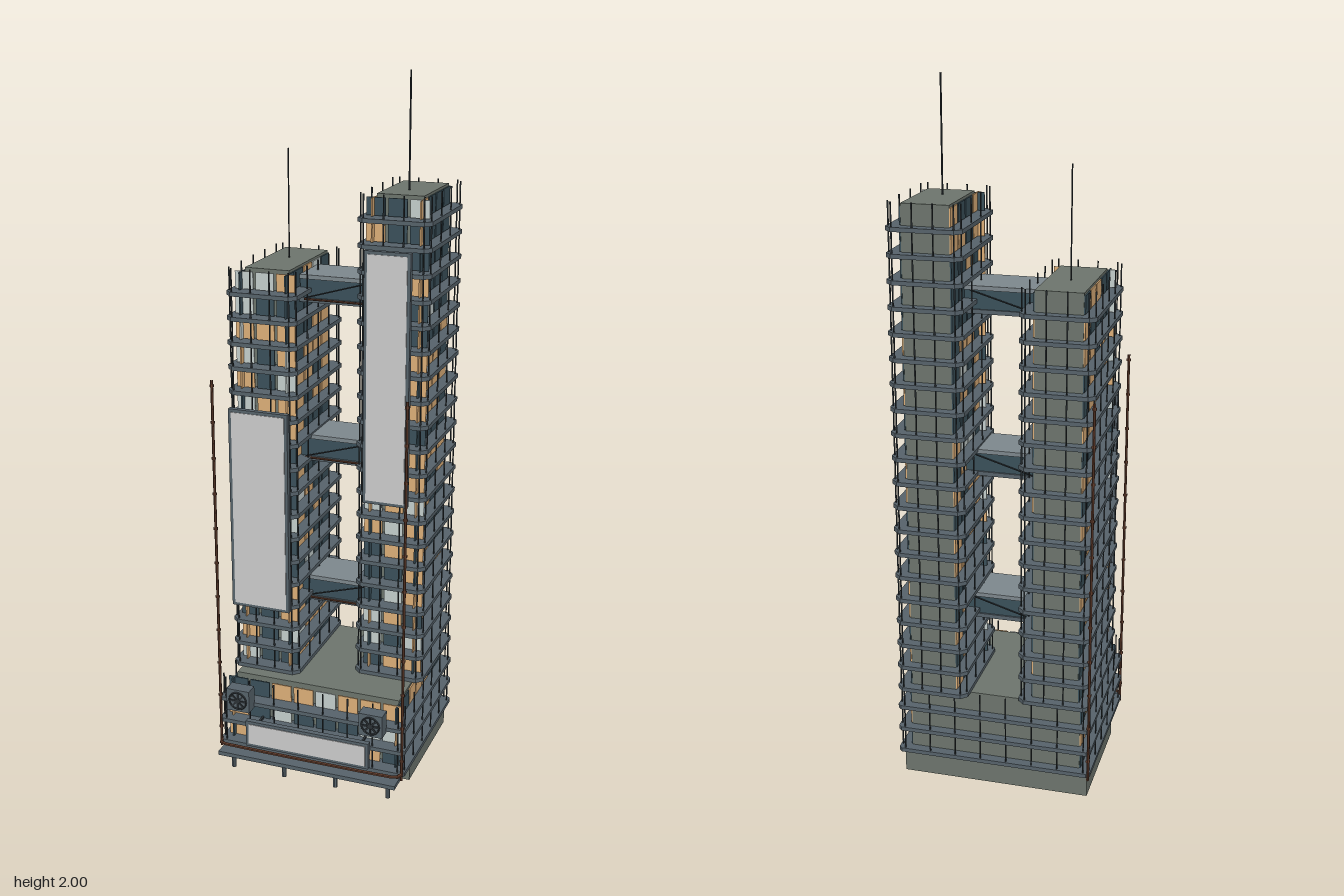
import * as THREE from 'three';
import { mergeGeometries } from 'three/addons/utils/BufferGeometryUtils.js';

const FLOOR = 0.0702;
const material = (color) => new THREE.MeshStandardMaterial({ color, flatShading: true });
const mats = {
  wall: material(0x6c746c), slab: material(0x56626a), dark: material(0x2c3236),
  lit: material(0xdcae78), glass: material(0x3a505a), pale: material(0xc4cecc),
  bridge: material(0x7d878c), rust: material(0x5e3a2a), sign: material(0xcccccc),
};

// Box given by its minimum and maximum corners
function box(x0, x1, y0, y1, z0, z1) {
  return new THREE.BoxGeometry(x1 - x0, y1 - y0, z1 - z0)
    .translate((x0 + x1) / 2, (y0 + y1) / 2, (z0 + z1) / 2);
}

function add(parent, name, geometry, mat) {
  const mesh = new THREE.Mesh(Array.isArray(geometry) ? mergeGeometries(geometry) : geometry, mat);
  mesh.name = name;
  parent.add(mesh);
  return mesh;
}

// Round rod between two points
function rod(a, b, r, sides = 6) {
  const path = new THREE.LineCurve3(new THREE.Vector3(...a), new THREE.Vector3(...b));
  return new THREE.TubeGeometry(path, 1, r, sides);
}

let seed = 7;
function random() {
  seed = (seed * 16807) % 2147483647;
  return seed / 2147483647;
}

// Floor slab with cut corners
function slabGeometry([x0, x1, z0, z1], y, cut) {
  const s = new THREE.Shape([
    [x0 + cut, -z0], [x0, -z0 - cut], [x0, -z1 + cut], [x0 + cut, -z1],
    [x1 - cut, -z1], [x1, -z1 + cut], [x1, -z0 - cut], [x1 - cut, -z0],
  ].map(([x, v]) => new THREE.Vector2(x, v)));
  return new THREE.ExtrudeGeometry(s, { depth: 0.012, bevelEnabled: false })
    .rotateX(-Math.PI / 2).translate(0, y, 0);
}

// Stacked storeys: core, slabs, balcony posts and window panels
function block(name, { core, slab, y, floors, cut }) {
  const g = new THREE.Group();
  g.name = name;
  const [x0, x1, z0, z1] = core, [sx0, sx1, sz0, sz1] = slab;
  add(g, 'core', box(x0, x1, y, y + floors * FLOOR, z0, z1), mats.wall);

  const slabs = [], posts = [], panes = { lit: [], glass: [], pale: [] };
  const count = (len) => Math.round(len / 0.068);
  const nx = count(sx1 - sx0), nz = count(sz1 - sz0 - 0.03);
  const wx0 = sx0 + 0.012, wx1 = sx1 - 0.012;
  const wz0 = sz0 + 0.025, wz1 = sz1 - 0.02;
  const pick = (pale) => {
    const r = random();
    return r < 0.45 ? 'lit' : r < 1 - pale ? 'glass' : 'pale';
  };

  for (let f = 0; f < floors; f++) {
    const b = y + f * FLOOR;
    slabs.push(slabGeometry(slab, b, cut));
    const post = (x, z) => posts.push(box(x - 0.0017, x + 0.0017, b, b + 0.077, z - 0.0017, z + 0.0017));
    const px = Math.round((sx1 - sx0) / 0.08), pz = Math.round((sz1 - sz0) / 0.1);
    for (let i = 0; i <= px; i++) {
      const x = THREE.MathUtils.lerp(sx0 + 0.02, sx1 - 0.02, i / px);
      post(x, sz0 + 0.006);
      post(x, sz1 - 0.006);
    }
    for (let i = 0; i <= pz; i++) {
      const z = THREE.MathUtils.lerp(sz0 + 0.025, sz1 - 0.025, i / pz);
      post(sx0 + 0.006, z);
      post(sx1 - 0.006, z);
    }
    // Front windows
    const dx = (wx1 - wx0) / nx, w0 = b + 0.014, w1 = b + 0.063;
    for (let i = 0; i < nx; i++) {
      const a = wx0 + i * dx;
      panes[pick(0.2)].push(box(a + 0.004, a + dx - 0.004, w0, w1, z1 + 0.015, z1 + 0.019));
    }
    // Side windows
    const dz = (wz1 - wz0) / nz;
    for (let i = 0; i < nz; i++) {
      const a = wz0 + i * dz;
      panes[pick(0.04)].push(box(x1, x1 + 0.004, w0, w1, a + 0.004, a + dz - 0.004));
      panes[pick(0.04)].push(box(x0 - 0.004, x0, w0, w1, a + 0.004, a + dz - 0.004));
    }
  }
  add(g, 'floorSlabs', slabs, mats.slab);
  add(g, 'balconyPosts', posts, mats.dark);
  for (const key in panes) if (panes[key].length) add(g, key + 'Windows', panes[key], mats[key]);
  return g;
}

// Blank panel in a dark frame with brackets behind it
function billboard(name, x0, x1, y0, y1, z0, z1, back) {
  const g = new THREE.Group();
  g.name = name;
  add(g, 'frame', box(x0 - 0.009, x1 + 0.009, y0 - 0.009, y1 + 0.009, z0, z1 - 0.002), mats.slab);
  add(g, 'panel', box(x0, x1, y0, y1, z1 - 0.003, z1), mats.sign);
  const arms = [];
  for (const x of [x0 + 0.02, x1 - 0.02])
    for (const t of [0.1, 0.5, 0.9]) {
      const y = y0 + (y1 - y0) * t;
      arms.push(box(x - 0.003, x + 0.003, y - 0.003, y + 0.003, back, z0));
    }
  add(g, 'brackets', arms, mats.dark);
  return g;
}

// Enclosed bridge between the towers
function skyBridge(y) {
  const g = new THREE.Group();
  g.name = 'skyBridge';
  const x0 = -0.106, x1 = 0.106, z0 = -0.132, z1 = 0.01;
  add(g, 'deck', box(x0, x1, y, y + 0.012, z0, z1), mats.slab);
  add(g, 'glazing', box(x0, x1, y + 0.012, y + 0.065, z0 + 0.005, z1 - 0.005), mats.glass);
  add(g, 'roof', box(x0, x1, y + 0.065, y + 0.077, z0, z1), mats.bridge);
  add(g, 'braces', [z0, z1].map((z) => rod([-0.09, y + 0.012, z], [0.09, y + 0.065, z], 0.002)), mats.dark);
  add(g, 'pipe', rod([-0.09, y + 0.01, z1 + 0.006], [0.09, y + 0.01, z1 + 0.006], 0.003), mats.rust);
  return g;
}

// Wall unit with a round fan on its front
function fanUnit(x) {
  const g = new THREE.Group();
  g.name = 'fanUnit';
  add(g, 'housing', box(x - 0.035, x + 0.035, 0.207, 0.275, 0.222, 0.262), mats.slab);
  add(g, 'fanRing', new THREE.TorusGeometry(0.026, 0.003, 5, 16).translate(x, 0.241, 0.263), mats.dark);
  const blades = [];
  for (let i = 0; i < 4; i++)
    blades.push(new THREE.BoxGeometry(0.05, 0.005, 0.003).rotateZ(i * Math.PI / 4).translate(x, 0.241, 0.264));
  add(g, 'fanBlades', blades, mats.dark);
  return g;
}

export function createModel() {
  const model = new THREE.Group();
  model.name = 'twinTowerBlock';

  // Plinth, podium and the two towers
  add(model, 'plinth', box(-0.275, 0.27, 0, 0.07, -0.235, 0.12), mats.wall);
  model.add(block('podium', {
    core: [-0.25, 0.25, -0.225, 0.167], slab: [-0.285, 0.285, -0.253, 0.225], y: 0.07, floors: 3, cut: 0.01,
  }));
  model.add(block('shortTower', {
    core: [-0.243, -0.112, -0.225, 0.07], slab: [-0.281, -0.073, -0.253, 0.13], y: 0.28, floors: 17, cut: 0.018,
  }));
  model.add(block('tallTower', {
    core: [0.11, 0.242, -0.24, -0.01], slab: [0.071, 0.28, -0.27, 0.05], y: 0.28, floors: 20, cut: 0.018,
  }));

  for (const y of [0.475, 0.912, 1.375]) model.add(skyBridge(y));

  model.add(billboard('leftBillboard', -0.257, -0.098, 0.5, 1.08, 0.138, 0.156, 0.07));
  model.add(billboard('rightBillboard', 0.118, 0.23, 0.845, 1.54, 0.073, 0.091, -0.01));
  model.add(billboard('entranceSign', -0.182, 0.177, 0.1, 0.163, 0.232, 0.25, 0.167));
  model.add(fanUnit(-0.208), fanUnit(0.197));

  // Front walkway on short legs
  add(model, 'walkway', box(-0.272, 0.272, 0.053, 0.065, 0.12, 0.267), mats.slab);
  add(model, 'walkwayLegs', [-0.24, -0.08, 0.08, 0.24].map((x) => rod([x, 0, 0.228], [x, 0.055, 0.228], 0.007, 8)), mats.slab);

  // Tall corner pipes with collars, joined along the front
  for (const [x, z] of [[-0.281, 0.222], [0.278, 0.222], [-0.28, -0.248]]) {
    const parts = [rod([x, 0.06, z], [x, 1.19, z], 0.004)];
    for (let y = 0.12; y < 1.18; y += 0.105) parts.push(rod([x, y, z], [x, y + 0.008, z], 0.0065));
    add(model, 'cornerPipe', parts, mats.rust);
  }
  const run = new THREE.CatmullRomCurve3([
    [-0.281, 0.08, 0.222], [-0.272, 0.08, 0.242], [-0.24, 0.08, 0.245],
    [0.24, 0.08, 0.245], [0.27, 0.08, 0.242], [0.278, 0.08, 0.222],
  ].map((p) => new THREE.Vector3(...p)), false, 'centripetal');
  add(model, 'frontPipe', new THREE.TubeGeometry(run, 30, 0.005, 6), mats.rust);

  // Roof antennas
  add(model, 'shortAntenna', rod([-0.178, 1.47, -0.093], [-0.178, 1.78, -0.093], 0.002), mats.dark);
  add(model, 'tallAntenna', rod([0.174, 1.68, -0.093], [0.174, 2, -0.093], 0.0025), mats.dark);
  return model;
}
